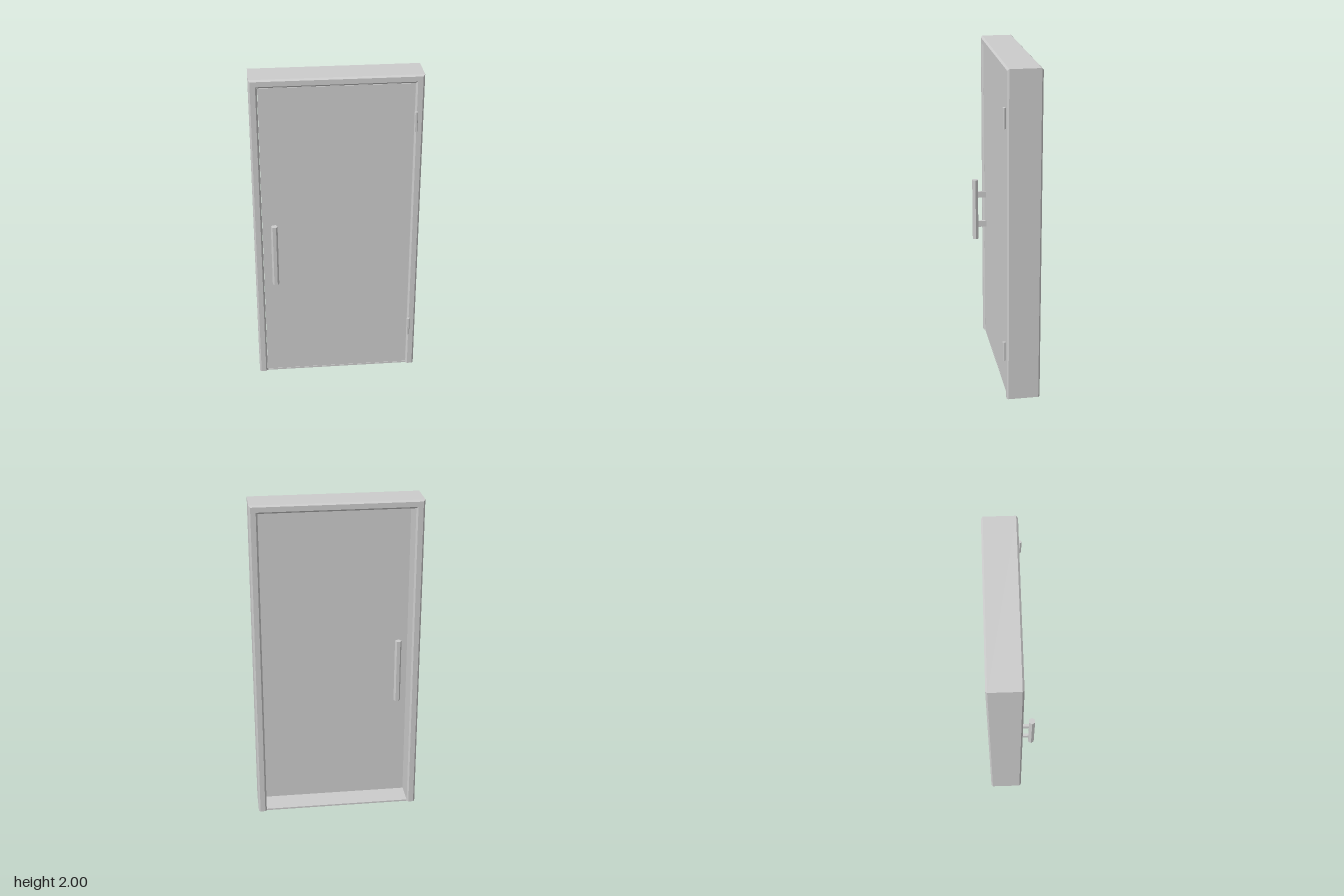
import * as THREE from 'three';

const material = new THREE.MeshStandardMaterial({ color: 0xcccccc, flatShading: true });

function addPart(parent, name, geometry, x = 0, y = 0, z = 0) {
  const mesh = new THREE.Mesh(geometry, material);
  mesh.name = name;
  mesh.position.set(x, y, z);
  parent.add(mesh);
  return mesh;
}

// Upright six-sided rod with its corners pointing along x
function hexRod(radius, height) {
  return new THREE.CylinderGeometry(radius, radius, height, 6).rotateY(Math.PI / 6);
}

// Two jambs and a head in one piece, chamfered front and back
function frameGeometry() {
  const outline = [[-0.5, 0], [-0.45, 0], [-0.45, 1.95], [0.45, 1.95],
    [0.45, 0], [0.5, 0], [0.5, 2], [-0.5, 2]];
  const shape = new THREE.Shape(outline.map(([x, y]) => new THREE.Vector2(x, y)));
  const geometry = new THREE.ExtrudeGeometry(shape, {
    depth: 0.18, bevelEnabled: true, bevelSegments: 1,
    bevelThickness: 0.01, bevelSize: 0.01, bevelOffset: -0.01,
  });
  geometry.translate(0, 0, -0.13);
  // Cut the feet square to the floor
  const p = geometry.attributes.position;
  for (let i = 0; i < p.count; i++) if (p.getY(i) < 0.02) p.setY(i, 0);
  geometry.computeVertexNormals();
  return geometry;
}

// Pull handle on two standoffs, origin at the door's mid-plane
function createHandle(name) {
  const handle = new THREE.Group();
  handle.name = name;
  addPart(handle, 'handleBar', hexRod(0.02, 0.4), 0, 0.9, 0.09);
  for (const y of [0.8, 1.0]) {
    addPart(handle, 'handleStandoff', new THREE.BoxGeometry(0.014, 0.04, 0.06), 0, y, 0.048);
  }
  return handle;
}

export function createModel() {
  const model = new THREE.Group();
  model.name = 'door';

  addPart(model, 'frame', frameGeometry());
  addPart(model, 'sill', new THREE.BoxGeometry(0.9, 0.01, 0.18), 0, 0.005, -0.04);
  addPart(model, 'doorPanel', new THREE.BoxGeometry(0.896, 1.936, 0.04), 0, 0.98, 0.03);

  // Handles on both faces of the panel
  for (const [name, turn] of [['frontHandle', 0], ['backHandle', Math.PI]]) {
    const handle = createHandle(name);
    handle.position.set(-0.38, 0, 0.03);
    handle.rotation.y = turn;
    model.add(handle);
  }

  // Hinge barrels
  for (const [name, y] of [['lowerHinge', 0.3], ['upperHinge', 1.72]]) {
    addPart(model, name, hexRod(0.01, 0.12), 0.455, y, 0.07);
  }
  return model;
}
